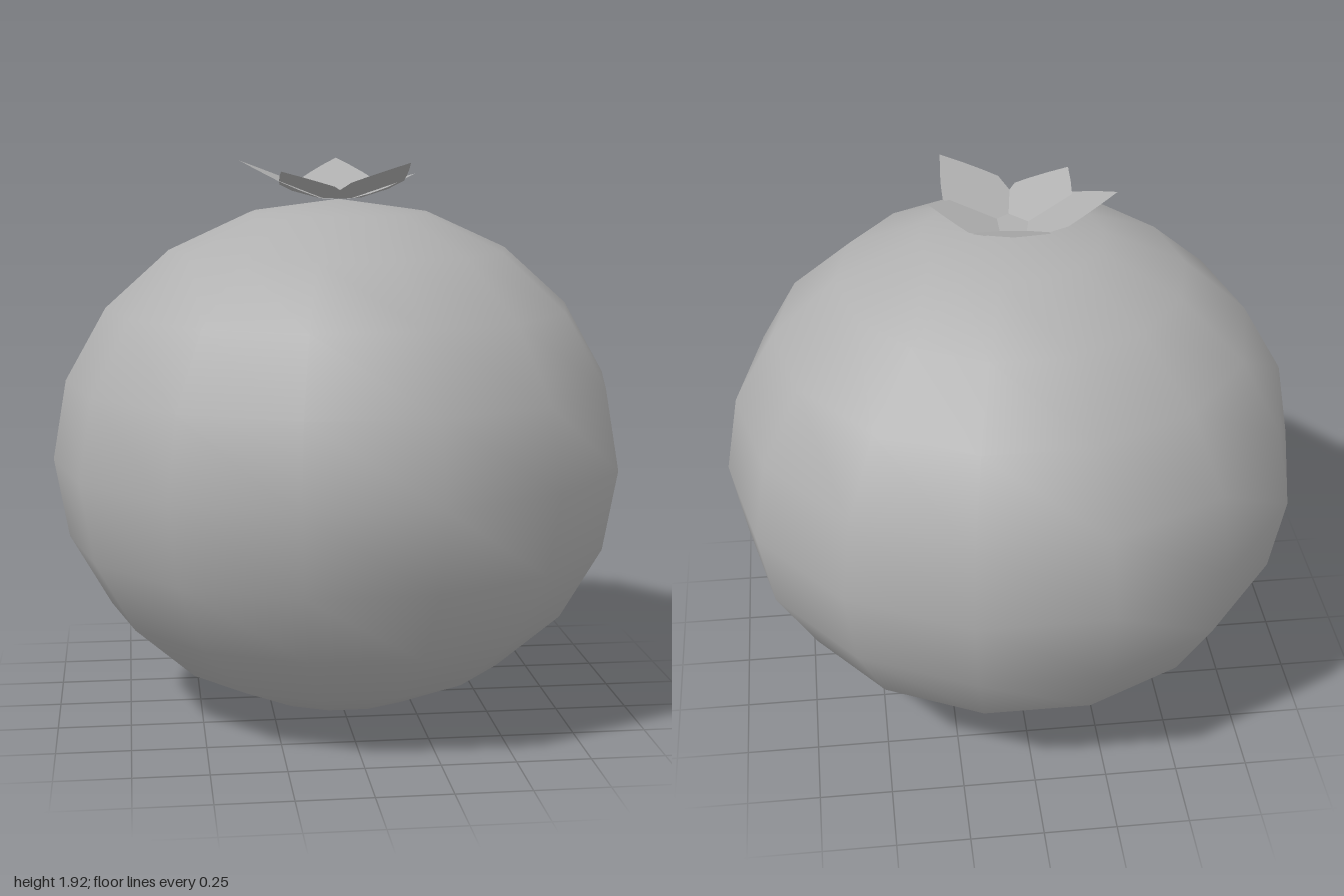
import * as THREE from 'three';

const fruitGrey = new THREE.MeshStandardMaterial({ color: 0xb0b0b0, side: THREE.DoubleSide });
fruitGrey.name = 'fruit grey';

const CROWN_Y = 1.798;

// A flat pointed leaf, raised in a straight line from its base to its tip
function makeLeaf([tipX, tipY, tipZ]) {
  const length = Math.hypot(tipX, tipZ);
  // Half outline: fraction of the length, half width
  const half = [[0.16, 0.055], [0.36, 0.118], [0.56, 0.125], [0.68, 0.095], [0.84, 0.05]];
  const outline = [
    ...half.map(([u, w]) => new THREE.Vector2(u * length, -w)),
    new THREE.Vector2(length, 0),
    ...half.map(([u, w]) => new THREE.Vector2(u * length, w)).reverse(),
  ];
  const geometry = new THREE.ShapeGeometry(new THREE.Shape(outline));
  geometry.rotateX(-Math.PI / 2);
  const p = geometry.attributes.position;
  for (let i = 0; i < p.count; i++) {
    const rise = (p.getX(i) / length - 0.16) / 0.84;
    p.setY(i, CROWN_Y + (tipY - CROWN_Y) * rise);
  }
  geometry.rotateY(Math.atan2(-tipZ, tipX));
  geometry.computeVertexNormals();
  return new THREE.Mesh(geometry, fruitGrey);
}

export function createModel() {
  const model = new THREE.Group();
  model.name = 'fruit';

  // Round body with smooth normals, slightly flattened
  const bodyGeometry = new THREE.SphereGeometry(1, 14, 10);
  bodyGeometry.scale(1, 0.896, 1);
  const body = new THREE.Mesh(bodyGeometry, fruitGrey);
  body.name = 'body';
  body.position.y = 0.898;
  model.add(body);

  // Leaf crown
  const crown = new THREE.Group();
  crown.name = 'leafCrown';
  const tips = [
    [0.03, 1.925, -0.34],
    [-0.34, 1.925, -0.065],
    [-0.215, 1.895, 0.2],
    [0.21, 1.925, 0.28],
    [0.27, 1.88, 0],
  ];
  tips.forEach((tip, i) => {
    const leaf = makeLeaf(tip);
    leaf.name = `leaf${i + 1}`;
    crown.add(leaf);
  });

  // Small flat centre joining the leaves
  const centreGeometry = new THREE.CircleGeometry(0.075, 5);
  centreGeometry.rotateX(-Math.PI / 2);
  const centre = new THREE.Mesh(centreGeometry, fruitGrey);
  centre.name = 'crownCentre';
  centre.position.y = CROWN_Y;
  crown.add(centre);

  model.add(crown);
  return model;
}
